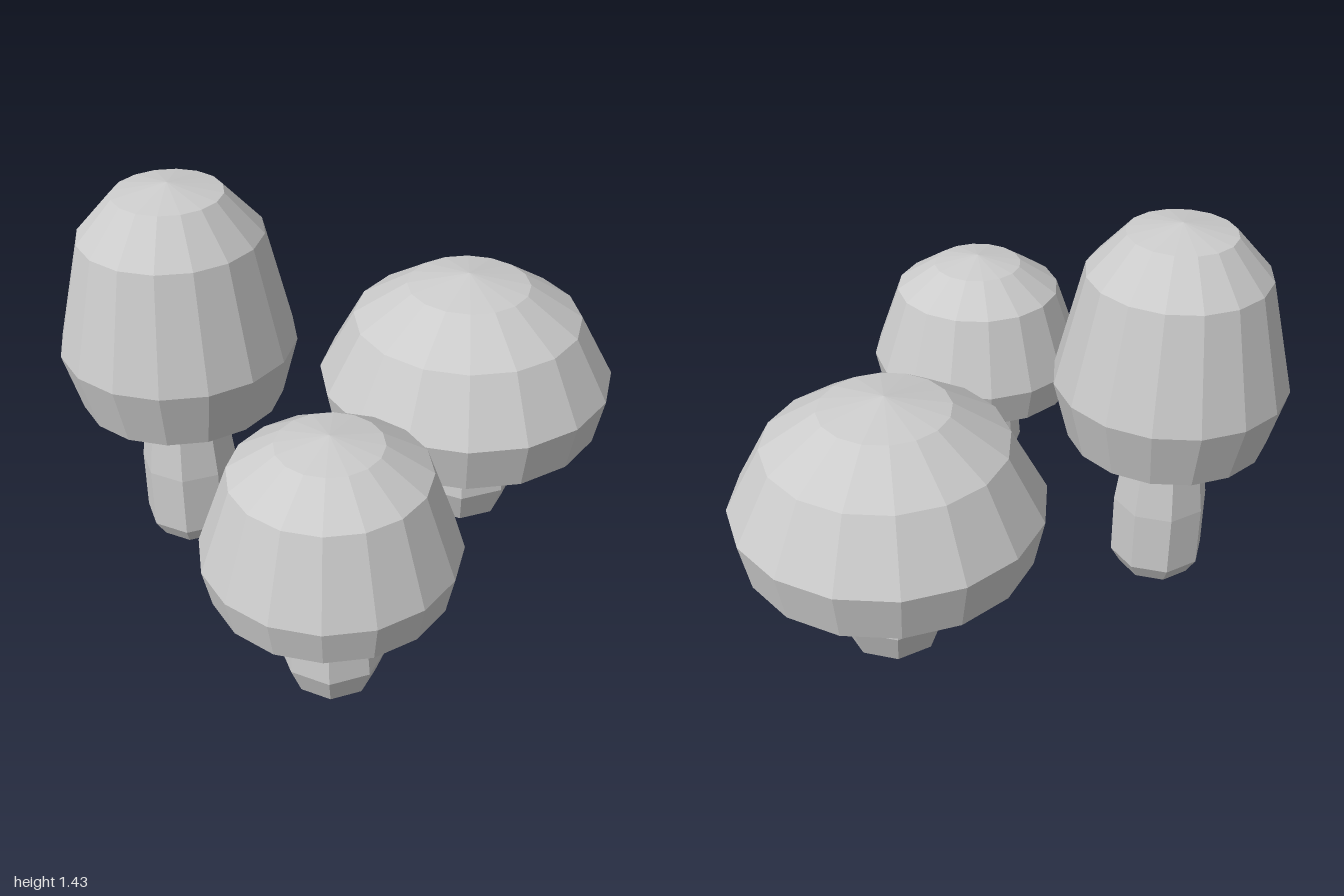
import * as THREE from 'three';

const material = new THREE.MeshStandardMaterial({ color: 0xcccccc, flatShading: true });

// Each mushroom: position plus [radius, height] profiles running from bottom to top
const MUSHROOMS = [
  {
    name: 'wideMushroom', x: 0.453, z: 0.065,
    stem: [[0, 0], [0.17, 0], [0.217, 0.13], [0.188, 0.4]],
    cap: [[0, 0.4], [0.51, 0.4], [0.547, 0.58], [0.42, 0.815], [0.225, 0.943], [0, 0.988]],
  },
  {
    name: 'smallMushroom', x: -0.582, z: 0.482,
    stem: [[0, 0.025], [0.14, 0.025], [0.18, 0.13], [0.153, 0.432]],
    cap: [[0, 0.432], [0.39, 0.432], [0.418, 0.565], [0.318, 0.847], [0.17, 0.945], [0, 0.977]],
  },
  {
    name: 'tallMushroom', x: -0.442, z: -0.487,
    stem: [[0, 0.025], [0.137, 0.025], [0.175, 0.09], [0.175, 0.325], [0.136, 0.62]],
    cap: [[0, 0.62], [0.36, 0.62], [0.418, 0.84], [0.32, 1.25], [0.19, 1.395], [0, 1.43]],
  },
];

function lathe(name, profile, sides) {
  const points = profile.map(([r, y]) => new THREE.Vector2(r, y));
  const mesh = new THREE.Mesh(new THREE.LatheGeometry(points, sides), material);
  mesh.name = name;
  return mesh;
}

export function createModel() {
  const group = new THREE.Group();
  group.name = 'mushroomCluster';
  for (const { name, x, z, stem, cap } of MUSHROOMS) {
    const mushroom = new THREE.Group();
    mushroom.name = name;
    // Eight-sided stem under a sixteen-sided cap
    mushroom.add(lathe('stem', stem, 8), lathe('cap', cap, 16));
    mushroom.position.set(x, 0, z);
    group.add(mushroom);
  }
  return group;
}
